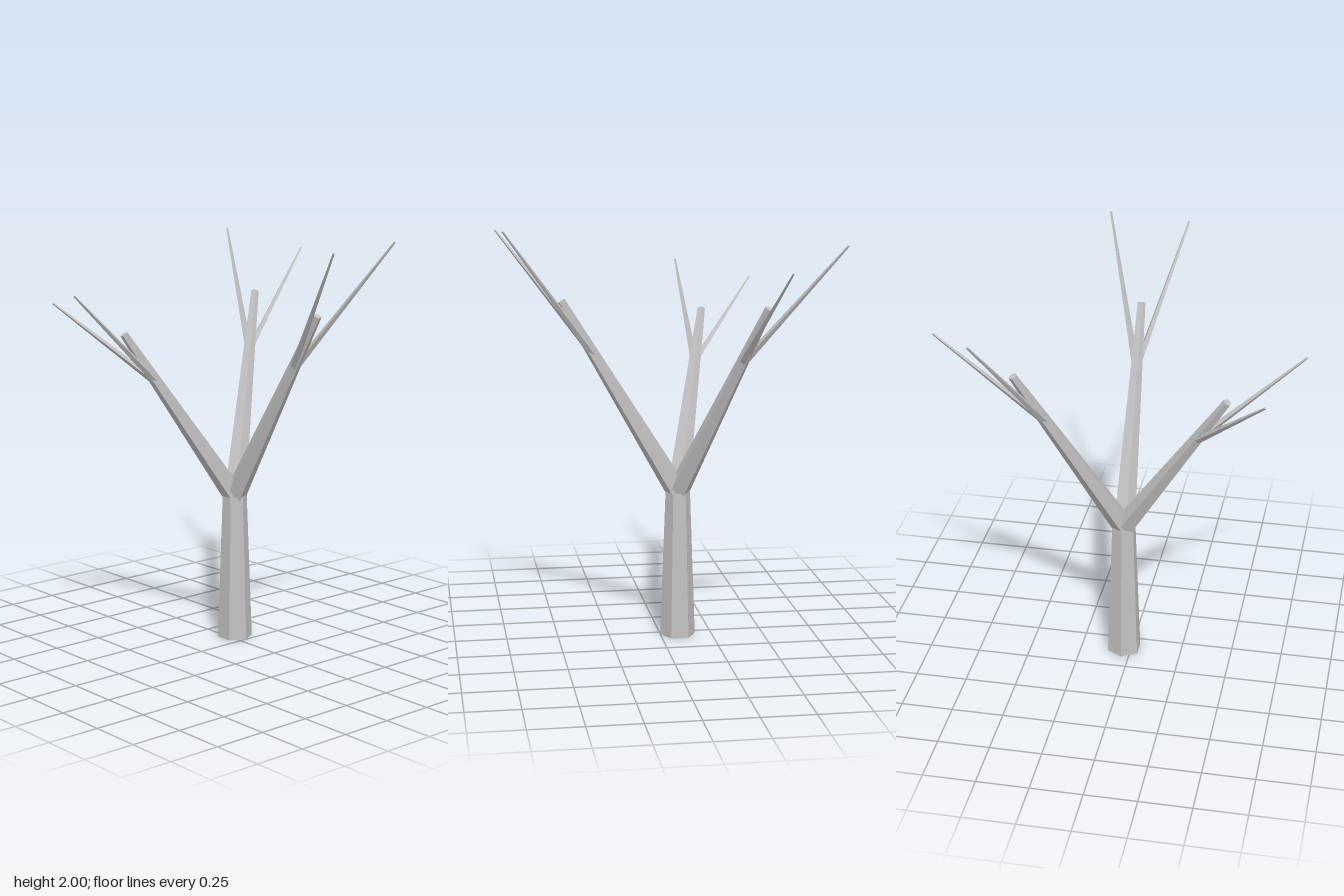
import * as THREE from 'three';

const bark = new THREE.MeshStandardMaterial({ color: 0xc0c0c0, flatShading: true });
bark.name = 'grey bark';

// Tapered, capped limb from a to b; its first corner points sideways
function limb(name, a, b, r0, r1, sides) {
  const dir = b.clone().sub(a);
  const length = dir.length();
  dir.normalize();
  const side = new THREE.Vector3().crossVectors(dir, new THREE.Vector3(0, 1, 0));
  if (side.length() < 0.05) side.set(1, 0, 0);
  side.addScaledVector(dir, -side.dot(dir)).normalize();
  const across = new THREE.Vector3().crossVectors(dir, side);
  const geometry = new THREE.CylinderGeometry(r1, r0, length, sides);
  geometry.applyMatrix4(new THREE.Matrix4().makeBasis(across, dir, side));
  const mesh = new THREE.Mesh(geometry, bark);
  mesh.position.copy(a).add(b).multiplyScalar(0.5);
  mesh.name = name;
  return mesh;
}

export function createModel() {
  const tree = new THREE.Group();
  tree.name = 'bareTree';
  const v = (p) => new THREE.Vector3(...p);

  // Trunk
  const fork = v([-0.085, 0.715, -0.037]);
  tree.add(limb('trunk', v([-0.085, 0, -0.037]), fork, 0.086, 0.06, 6));

  // Three branches, each carrying two thin twigs
  const branches = [
    { name: 'left', tip: [0.472, 1.655, -0.055], twigs: [[0.755, 2, -0.26], [0.765, 1.975, 0.13]] },
    { name: 'front', tip: [-0.285, 1.54, 0.478], twigs: [[-0.205, 1.755, 0.82], [-0.57, 1.675, 0.68]] },
    { name: 'back', tip: [-0.433, 1.655, -0.475], twigs: [[-0.77, 1.945, -0.58], [-0.465, 1.85, -0.825]] },
  ];
  for (const { name, tip, twigs } of branches) {
    const end = v(tip);
    const group = new THREE.Group();
    group.name = name + 'Bough';
    group.add(limb(name + 'Branch', fork, end, 0.055, 0.02, 5));
    const start = fork.clone().lerp(end, 0.7);
    twigs.forEach((t, i) => group.add(limb(name + 'Twig' + (i + 1), start, v(t), 0.018, 0.005, 4)));
    tree.add(group);
  }
  return tree;
}
